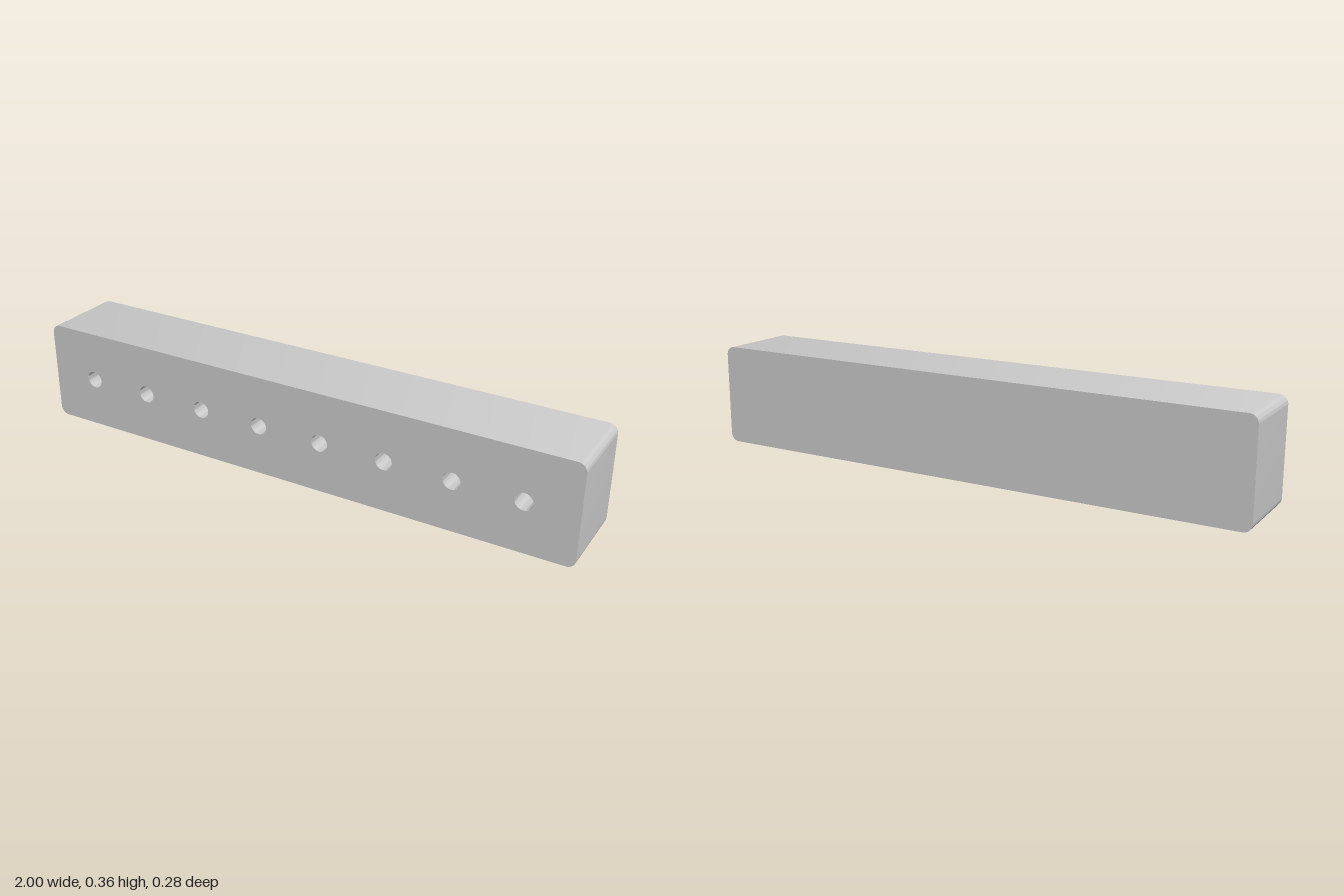
import * as THREE from 'three';
import { toCreasedNormals } from 'three/addons/utils/BufferGeometryUtils.js';

const W = 2, H = 0.357, D = 0.282, CORNER = 0.03;
const HOLES = 8, PITCH = 0.235, HOLE_R = 0.03, HOLE_DEPTH = 0.2;

// Rectangle with rounded corners, standing on y = 0
function barOutline() {
  const x = W / 2, r = CORNER, s = new THREE.Shape();
  s.absarc(x - r, r, r, -Math.PI / 2, 0);
  s.absarc(x - r, H - r, r, 0, Math.PI / 2);
  s.absarc(-x + r, H - r, r, Math.PI / 2, Math.PI);
  s.absarc(-x + r, r, r, Math.PI, Math.PI * 1.5);
  s.closePath();
  return s;
}

export function createModel() {
  const group = new THREE.Group();
  const material = new THREE.MeshStandardMaterial({ color: 0xcccccc });
  const add = (name, geometry, x = 0, y = 0, z = 0) => {
    const mesh = new THREE.Mesh(geometry, material);
    mesh.name = name;
    mesh.position.set(x, y, z);
    group.add(mesh);
  };
  const holeX = Array.from({ length: HOLES }, (_, i) => (i - (HOLES - 1) / 2) * PITCH);

  // Outer walls: the sides of an extrusion, without its caps
  const block = new THREE.ExtrudeGeometry(barOutline(), { depth: D, bevelEnabled: false, curveSegments: 12 });
  const { start, count } = block.groups[1];
  const walls = new THREE.BufferGeometry();
  walls.setAttribute('position', new THREE.BufferAttribute(
    block.attributes.position.array.slice(start * 3, (start + count) * 3), 3));
  add('outerWalls', toCreasedNormals(walls, 0.6), 0, 0, -D / 2);

  // Plain back face
  const back = new THREE.ShapeGeometry(barOutline(), 12).rotateY(Math.PI);
  add('backFace', back, 0, 0, -D / 2);

  // Front face pierced by a row of holes
  const front = barOutline();
  for (const x of holeX) {
    const hole = new THREE.Path();
    hole.absarc(x, H / 2, HOLE_R, 0, Math.PI * 2, true);
    front.holes.push(hole);
  }
  add('frontFace', new THREE.ShapeGeometry(front, 32), 0, 0, D / 2);

  // Blind bores: inward-facing wall and flat floor
  const profile = [[HOLE_R, 0], [HOLE_R, -HOLE_DEPTH], [0, -HOLE_DEPTH]].map(p => new THREE.Vector2(...p));
  const bore = toCreasedNormals(new THREE.LatheGeometry(profile, 32).rotateX(Math.PI / 2), 0.6);
  holeX.forEach((x, i) => add('bore' + (i + 1), bore, x, H / 2, D / 2));

  return group;
}
